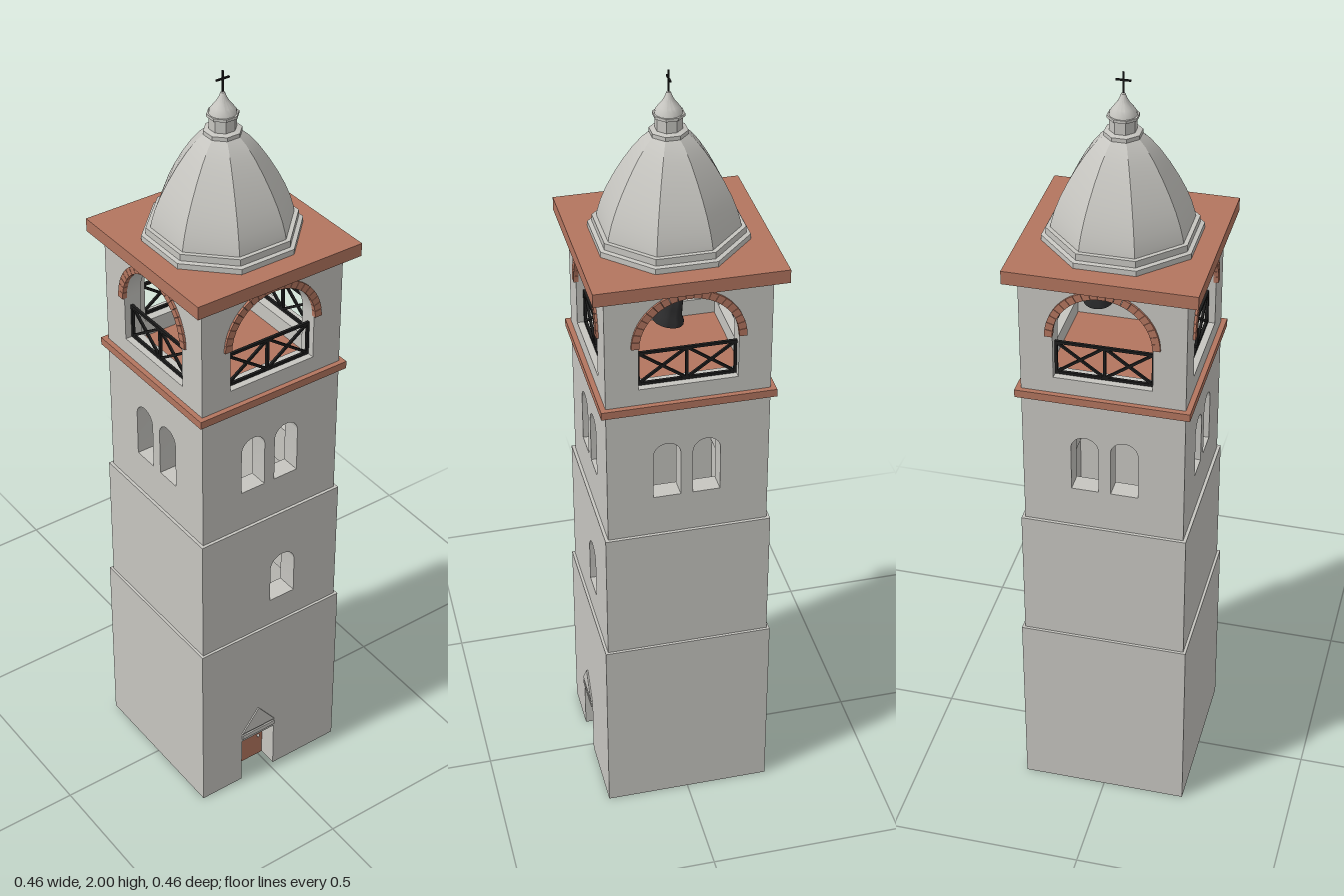
import * as THREE from 'three';
import { toCreasedNormals } from 'three/addons/utils/BufferGeometryUtils.js';

const mat = (name, color) => {
  const m = new THREE.MeshStandardMaterial({ color });
  m.name = name;
  return m;
};

export function createModel() {
  const stone = mat('stone', 0xc6c5c0);
  const brick = mat('brick', 0xb3755f);
  const iron = mat('iron', 0x1c1c1c);
  const bronze = mat('dark bronze', 0x2b2b2c);
  const model = new THREE.Group();
  model.name = 'bellTower';

  const add = (parent, name, geometry, material, x = 0, y = 0, z = 0) => {
    const mesh = new THREE.Mesh(geometry, material);
    mesh.name = name;
    mesh.position.set(x, y, z);
    parent.add(mesh);
    return mesh;
  };
  const box = (parent, name, w, y0, y1, d, material, x = 0, z = 0) =>
    add(parent, name, new THREE.BoxGeometry(w, y1 - y0, d), material, x, (y0 + y1) / 2, z);
  const extrude = (shape, depth) => toCreasedNormals(
    new THREE.ExtrudeGeometry(shape, { depth, bevelEnabled: false, curveSegments: 16 }), 0.5);

  // Straight bar between two points
  const bar = (parent, name, a, b, size, material) => {
    const p = new THREE.Vector3(...a), q = new THREE.Vector3(...b);
    const mesh = add(parent, name, new THREE.BoxGeometry(size, p.distanceTo(q), size), material);
    mesh.position.copy(p).add(q).multiplyScalar(0.5);
    mesh.quaternion.setFromUnitVectors(new THREE.Vector3(0, 1, 0), q.sub(p).normalize());
  };

  // Round-headed opening
  const archHole = (cx, y0, top, r) => {
    const p = new THREE.Path();
    p.moveTo(cx - r, y0);
    p.lineTo(cx + r, y0);
    p.lineTo(cx + r, top - r);
    p.absarc(cx, top - r, r, 0, Math.PI, false);
    p.lineTo(cx - r, y0);
    return p;
  };

  // Four hollow walls; side i is turned by i quarter turns from the front
  const walls = (name, h, y0, y1, t, holes, notch) => {
    for (let i = 0; i < 4; i++) {
      const w = i % 2 ? h - t : h;
      const s = new THREE.Shape();
      s.moveTo(-w, y0);
      if (notch && i === 0) {
        s.lineTo(notch[0], y0);
        s.lineTo(notch[0], notch[2]);
        s.lineTo(notch[1], notch[2]);
        s.lineTo(notch[1], y0);
      }
      s.lineTo(w, y0);
      s.lineTo(w, y1);
      s.lineTo(-w, y1);
      s.closePath();
      s.holes.push(...holes(i));
      const side = new THREE.Group();
      side.rotation.y = i * Math.PI / 2;
      side.name = name + 'Side';
      add(side, name, extrude(s, t), stone, 0, 0, h - t);
      model.add(side);
    }
  };

  // Shaft in three tiers, each slightly narrower
  walls('lowerWall', 0.215, 0, 0.51, 0.06, () => [], [-0.09, 0.014, 0.14]);
  walls('middleWall', 0.208, 0.51, 0.865, 0.055, i => (i ? [] : [archHole(0.037, 0.59, 0.73, 0.037)]));
  walls('upperWall', 0.2, 0.865, 1.235, 0.05, i => {
    const o = i < 2 ? -0.003 : 0.003;
    return [archHole(o - 0.049, 0.975, 1.13, 0.034), archHole(o + 0.049, 0.975, 1.13, 0.034)];
  });
  box(model, 'groundFloor', 0.312, 0, 0.02, 0.312, stone);

  // Doorway with lintel and pediment
  box(model, 'door', 0.104, 0, 0.14, 0.008, brick, -0.038, 0.16);
  add(model, 'doorHandle', new THREE.SphereGeometry(0.004, 10, 8), stone, 0.0, 0.07, 0.167);
  box(model, 'lintel', 0.104, 0.15, 0.163, 0.008, stone, -0.038, 0.215);
  const gable = new THREE.Shape();
  gable.moveTo(-0.052, 0.17);
  gable.lineTo(0.052, 0.17);
  gable.lineTo(0, 0.238);
  add(model, 'pediment', extrude(gable, 0.008), stone, -0.038, 0, 0.211);

  // Belfry
  box(model, 'cornice', 0.426, 1.232, 1.252, 0.426, brick);
  walls('belfryWall', 0.2, 1.252, 1.553, 0.045, () => [archHole(0, 1.295, 1.53, 0.12)]);
  box(model, 'roofSlab', 0.46, 1.553, 1.587, 0.46, brick);

  // Brick arch and railing on each side
  const bricks = 21, step = Math.PI / bricks;
  for (let i = 0; i < 4; i++) {
    const side = new THREE.Group();
    side.name = 'belfryOpening';
    side.rotation.y = i * Math.PI / 2;
    model.add(side);
    for (let k = 0; k < bricks; k++) {
      const s = new THREE.Shape();
      s.absarc(0, 0, 0.138, k * step + 0.004, (k + 1) * step - 0.004, false);
      s.absarc(0, 0, 0.119, (k + 1) * step - 0.004, k * step + 0.004, true);
      add(side, 'archBrick', new THREE.ExtrudeGeometry(s,
        { depth: 0.012, bevelEnabled: false, curveSegments: 2 }), brick, 0, 1.41, 0.194);
    }
    const z = 0.18, lo = 1.299, hi = 1.383;
    for (const y of [lo, hi]) bar(side, 'rail', [-0.12, y, z], [0.12, y, z], 0.007, iron);
    for (const x of [-0.117, 0, 0.117]) bar(side, 'railPost', [x, lo, z], [x, hi, z], 0.007, iron);
    for (const x of [-0.117, 0]) {
      bar(side, 'railBrace', [x, lo, z], [x + 0.117, hi, z], 0.006, iron);
      bar(side, 'railBrace', [x, hi, z], [x + 0.117, lo, z], 0.006, iron);
    }
  }

  // Pair of swinging bells
  const bellProfile = [[0, 0.004], [0.03, 0.004], [0.038, 0], [0.037, 0.008], [0.03, 0.02], [0.027, 0.04],
    [0.025, 0.058], [0.019, 0.068], [0, 0.072]].map(p => new THREE.Vector2(...p));
  box(model, 'bellBeam', 0.075, 1.532, 1.555, 0.02, iron);
  for (const s of [-1, 1]) {
    const bell = new THREE.Group();
    bell.name = 'bell';
    bell.position.set(s * 0.065, 1.475, 0);
    bell.rotation.x = -0.2;
    model.add(bell);
    add(bell, 'bellBody', toCreasedNormals(new THREE.LatheGeometry(bellProfile, 24), 0.7), bronze, 0, -0.088);
    add(bell, 'clapper', new THREE.SphereGeometry(0.008, 10, 8), iron, 0, -0.088);
    add(bell, 'bellCrown', new THREE.CylinderGeometry(0.007, 0.01, 0.02, 10), iron, 0, -0.009);
    box(bell, 'bellYoke', 0.056, -0.004, 0.004, 0.01, iron);
    bar(model, 'bellHanger', [s * 0.045, 1.475, 0], [s * 0.033, 1.54, 0], 0.005, iron);
  }

  // Octagonal lathe; radii are given to the flat sides
  const octagon = (name, points) => {
    const c = Math.cos(Math.PI / 8);
    const g = new THREE.LatheGeometry(points.map(([r, y]) => new THREE.Vector2(r / c, y)), 8, Math.PI / 8);
    return add(model, name, toCreasedNormals(g, 0.5), stone);
  };
  octagon('domeSteps', [[0, 1.587], [0.178, 1.587], [0.178, 1.601], [0.168, 1.603], [0.168, 1.62], [0, 1.62]]);
  octagon('dome', [[0.158, 1.618], [0.156, 1.632], [0.148, 1.662], [0.136, 1.695], [0.12, 1.73],
    [0.1, 1.768], [0.078, 1.804], [0.057, 1.832], [0.038, 1.85], [0, 1.852]]);

  // Lantern, finial and cross
  octagon('lantern', [[0.042, 1.845], [0.042, 1.856], [0.03, 1.859], [0.03, 1.888], [0.035, 1.89], [0.035, 1.897], [0, 1.897]]);
  const finial = [[0.033, 1.896], [0.031, 1.904], [0.024, 1.914], [0.015, 1.925], [0.009, 1.936], [0.005, 1.947], [0, 1.95]];
  add(model, 'finial', toCreasedNormals(
    new THREE.LatheGeometry(finial.map(p => new THREE.Vector2(...p)), 16), 0.6), stone);
  box(model, 'crossPost', 0.004, 1.945, 2, 0.004, iron);
  box(model, 'crossArm', 0.036, 1.978, 1.982, 0.004, iron);

  return model;
}
